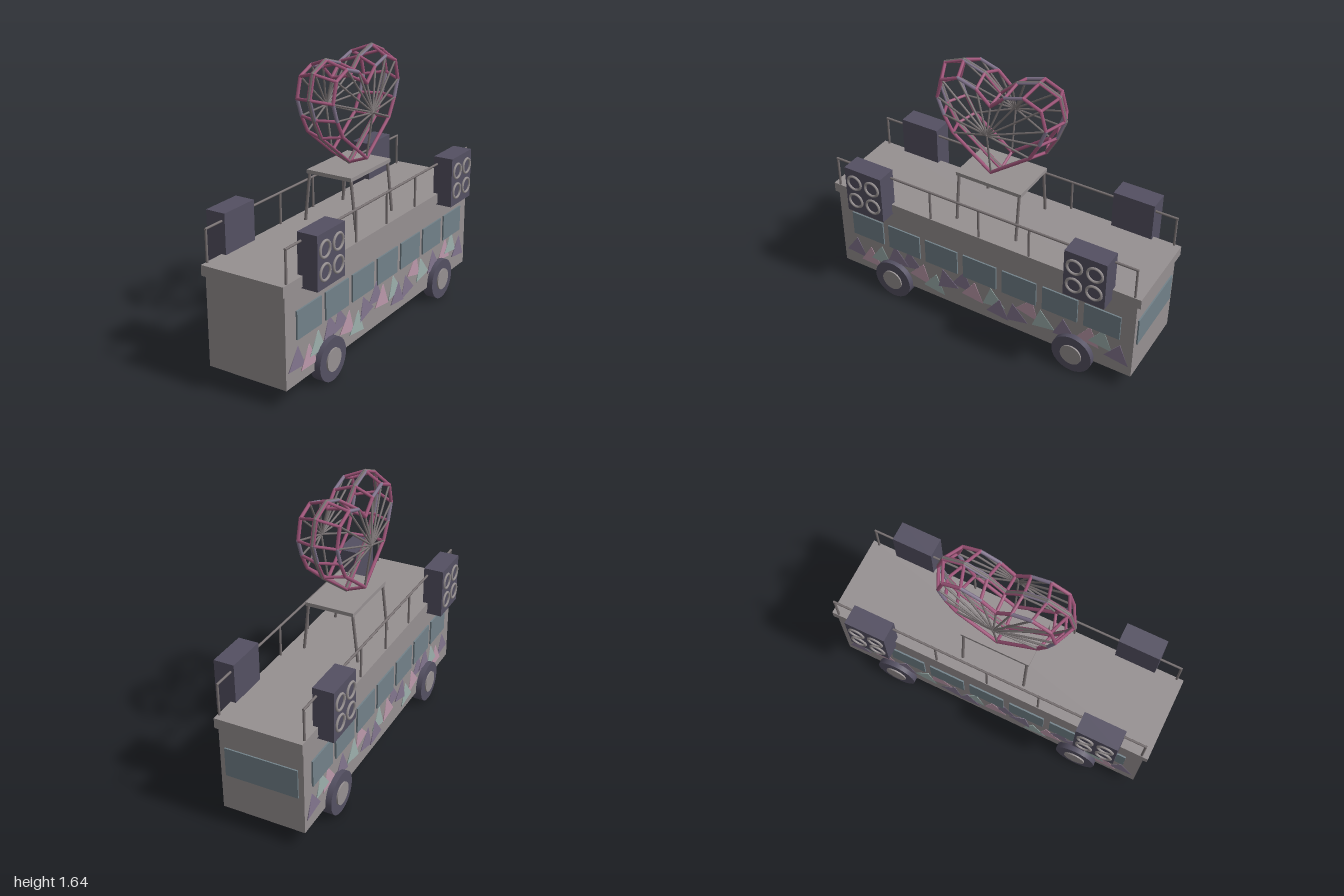
import * as THREE from 'three';

const mat = (name, color) => {
  const m = new THREE.MeshStandardMaterial({ color });
  m.name = name;
  return m;
};

export function createModel() {
  const root = new THREE.Group();
  root.name = 'paradeBus';
  const paint = mat('warm grey paint', 0x969091);
  const dark = mat('dark violet grey', 0x545062);
  const glass = mat('window glass', 0x728189);
  const metal = mat('grey metal', 0x787172);
  const magenta = mat('magenta tube', 0xa0557a);
  const purple = mat('purple', 0x83768f);
  const mural = [purple, mat('mural pink', 0xbc99ab), mat('mural teal', 0x9db0ad)];

  const add = (parent, name, geo, material, x = 0, y = 0, z = 0) => {
    const m = new THREE.Mesh(geo, material);
    m.name = name;
    m.position.set(x, y, z);
    parent.add(m);
    return m;
  };
  const group = (name) => {
    const g = new THREE.Group();
    g.name = name;
    root.add(g);
    return g;
  };
  const box = (w, h, d) => new THREE.BoxGeometry(w, h, d);
  const up = new THREE.Vector3(0, 1, 0);
  // Round bar between two points
  const bar = (parent, name, a, b, r, material, sides = 6) => {
    const d = b.clone().sub(a);
    const m = add(parent, name, new THREE.CylinderGeometry(r, r, d.length(), sides), material);
    m.position.copy(a).add(b).multiplyScalar(0.5);
    m.quaternion.setFromUnitVectors(up, d.normalize());
  };
  const V = (x, y, z) => new THREE.Vector3(x, y, z);

  // Body and roof
  add(root, 'body', box(0.494, 0.528, 1.954), paint, 0, 0.369, 0);
  add(root, 'roof', box(0.512, 0.06, 2), paint, 0, 0.66, 0);
  add(root, 'rearWindow', box(0.43, 0.175, 0.009), glass, 0, 0.417, -0.981);

  // Mural triangles: z, y, tilt in degrees, colour index
  const triangles = [
    [0.88, 0.233, 5, 0], [0.775, 0.2, 2, 1], [0.695, 0.243, 4, 2], [0.578, 0.286, -8, 0],
    [0.48, 0.29, -10, 0], [0.406, 0.233, 12, 1], [0.31, 0.195, 8, 2], [0.225, 0.26, -17, 0],
    [0.112, 0.297, 6, 0], [0.043, 0.25, 7, 1], [-0.09, 0.26, -9, 2], [-0.128, 0.2, 6, 0],
    [-0.24, 0.21, -13, 0], [-0.326, 0.297, 14, 1], [-0.417, 0.25, -10, 2], [-0.556, 0.25, -5, 0],
    [-0.706, 0.27, 7, 1], [-0.786, 0.286, 7, 2], [-0.888, 0.227, 8, 0],
  ];

  for (const s of [1, -1]) {
    const label = s > 0 ? 'left' : 'right';

    // Side windows
    const windows = group(label + 'Windows');
    for (let i = -3; i <= 3; i++)
      add(windows, 'sideWindow', box(0.0098, 0.16, 0.22), glass, s * 0.2515, 0.435, i * 0.26 - 0.005);

    // Painted triangles, thin prisms pointing up
    const art = group(label + 'Mural');
    triangles.forEach(([z, y, tilt, c], i) => {
      const geo = new THREE.CylinderGeometry(0.085, 0.085, 0.004, 3);
      geo.rotateX(Math.PI / 2);
      geo.rotateZ(Math.PI - s * THREE.MathUtils.degToRad(tilt));
      geo.rotateY(s * Math.PI / 2);
      add(art, 'muralTriangle', geo, mural[c], s * (0.2475 + (i % 4) * 0.0012), y, z);
    });

    // Wheels with hubs
    for (const z of [0.6, -0.623]) {
      const wheel = group(label + (z > 0 ? 'FrontWheel' : 'RearWheel'));
      wheel.position.set(s * 0.25, 0.125, z);
      add(wheel, 'tire', new THREE.CylinderGeometry(0.125, 0.125, 0.064, 32).rotateZ(Math.PI / 2), dark);
      add(wheel, 'hub', new THREE.CylinderGeometry(0.066, 0.066, 0.02, 32).rotateZ(Math.PI / 2),
        paint, s * 0.031);
    }

    // Railing
    const railing = group(label + 'Railing');
    const x = s * 0.247;
    for (let i = -3; i <= 3; i++)
      bar(railing, 'post', V(x, 0.68, i * 0.32), V(x, 0.875, i * 0.32), 0.007, metal, 8);
    bar(railing, 'rail', V(x, 0.875, -0.966), V(x, 0.875, 0.966), 0.007, metal, 8);

    // Loudspeakers, each with four ringed cones
    for (const z of [0.709, -0.709]) {
      const speaker = group(label + (z > 0 ? 'FrontSpeaker' : 'RearSpeaker'));
      speaker.position.set(s * 0.286, 0.77, z);
      add(speaker, 'cabinet', box(0.12, 0.3, 0.248), dark);
      for (const dy of [-0.062, 0.062])
        for (const dz of [-0.06, 0.06])
          add(speaker, 'speakerRing',
            new THREE.TorusGeometry(0.044, 0.008, 6, 24).rotateY(Math.PI / 2),
            paint, s * 0.063, dy, dz);
    }
  }

  // Stand on the roof with splayed legs
  const stand = group('stand');
  add(stand, 'standTop', box(0.29, 0.022, 0.416), paint, 0, 0.985, 0);
  for (const sx of [1, -1])
    for (const sz of [1, -1])
      bar(stand, 'standLeg', V(sx * 0.134, 0.98, sz * 0.193), V(sx * 0.167, 0.69, sz * 0.193),
        0.009, metal, 8);

  // Wire heart: half outline mirrored, a middle ring and two smaller side rings
  const heart = group('heart');
  const half = [[0.278, 1.215], [0.343, 1.33], [0.387, 1.447], [0.35, 1.58], [0.23, 1.63], [0.1, 1.59]];
  const outline = [[0, 1.008], ...half, [0, 1.5],
    ...half.slice().reverse().map(([z, y]) => [-z, y])];
  const cy = 1.316;
  const ring = (x, k) => outline.map(([z, y]) => V(x, cy + (y - cy) * k, z * k));
  const loop = (name, pts, r, colours) => pts.forEach((p, i) => {
    const m = colours[i % colours.length];
    bar(heart, name, p, pts[(i + 1) % pts.length], r, m);
    add(heart, name + 'Joint', new THREE.IcosahedronGeometry(r, 1), m, p.x, p.y, p.z);
  });
  const middle = ring(0, 1);
  loop('middleRing', middle, 0.011, [metal]);
  for (const s of [1, -1]) {
    loop('lightTube', ring(s * 0.008, 1), 0.007, [magenta, magenta, purple]);
    const side = ring(s * 0.113, 0.86);
    loop('sideRing', side, 0.01, [magenta, magenta, purple]);
    const hub = V(s * 0.152, cy, 0);
    add(heart, 'spokeHub', new THREE.IcosahedronGeometry(0.009, 1), metal, hub.x, hub.y, hub.z);
    side.forEach((p, i) => {
      bar(heart, 'rung', middle[i], p, 0.009, magenta);
      bar(heart, 'spoke', p, hub, 0.006, metal);
    });
  }
  return root;
}
